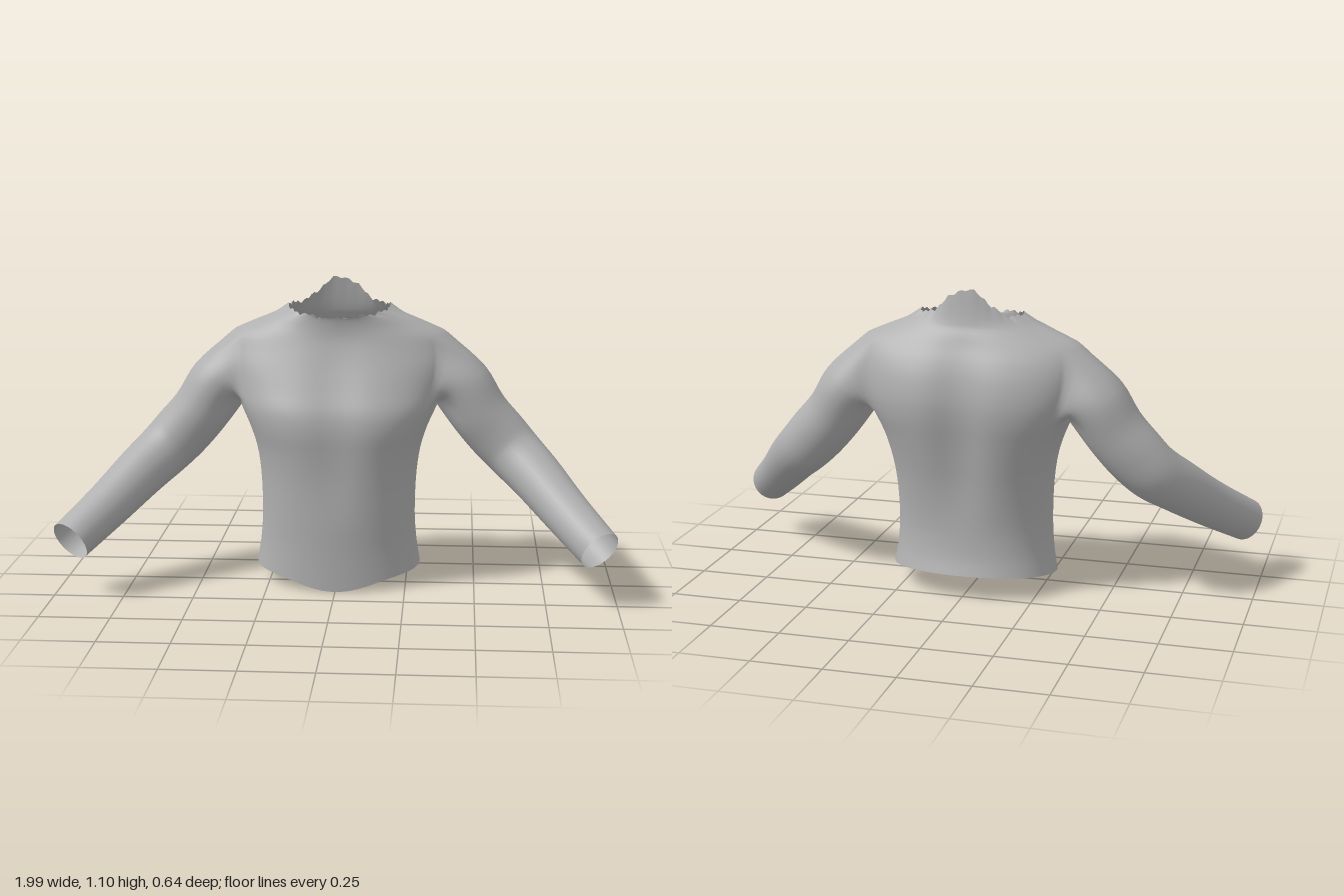
import * as THREE from 'three';

// Torso rings: y, half width, front z, back z, z of the widest point, roundness exponent
const RINGS = [
  [0.065, 0.300, 0.145, -0.288, -0.07, 2.1],
  [0.15, 0.287, 0.147, -0.270, -0.07, 2.1],
  [0.25, 0.280, 0.150, -0.260, -0.07, 2.2],
  [0.40, 0.285, 0.156, -0.278, -0.08, 2.3],
  [0.50, 0.300, 0.164, -0.297, -0.09, 2.4],
  [0.58, 0.325, 0.170, -0.312, -0.09, 2.5],
  [0.65, 0.357, 0.160, -0.324, -0.10, 2.5],
  [0.72, 0.385, 0.126, -0.327, -0.11, 2.4],
  [0.80, 0.405, 0.086, -0.312, -0.11, 2.3],
  [0.86, 0.410, 0.060, -0.288, -0.12, 2.1],
  [0.905, 0.400, 0.045, -0.262, -0.12, 1.9],
  [0.945, 0.325, 0.040, -0.240, -0.12, 1.8],
  [0.98, 0.240, 0.043, -0.218, -0.12, 1.9],
  [1.01, 0.185, 0.048, -0.195, -0.12, 2.2],
];
// Sleeve stations from shoulder to cuff: x, y, z, radius up, radius sideways
const SLEEVE = [
  [0.440, 0.722, -0.118, 0.112, 0.130],
  [0.515, 0.612, -0.110, 0.107, 0.120],
  [0.585, 0.532, -0.103, 0.107, 0.110],
  [0.645, 0.470, -0.082, 0.102, 0.106],
  [0.720, 0.403, -0.008, 0.095, 0.098],
  [0.820, 0.307, 0.120, 0.085, 0.086],
  [0.932, 0.208, 0.270, 0.077, 0.077],
];
const COLS = 96, SUB = 3;          // columns round the torso, steps between rings
const HOLE = { half: 8, low: 6 * SUB, high: 10 * SUB, y: 0.78, z: -0.105 };

// Point on torso ring r at the given column
function ringPoint(r, col) {
  const [y, hx, zf, zb, zc, n] = RINGS[r];
  const a = (col / COLS) * Math.PI * 2, c = Math.cos(a), s = Math.sin(a);
  const x = hx * Math.sign(c) * Math.abs(c) ** (2 / n);
  let z = zc + (s > 0 ? zf - zc : zc - zb) * Math.sign(s) * Math.abs(s) ** (2 / n);
  // shallow hollows along the breastbone and spine
  const body = Math.max(0, Math.sin(Math.PI * Math.min(1, Math.max(0, (y - 0.25) / 0.75))));
  const hollow = body * Math.exp(-((x / 0.09) ** 2));
  z += s > 0 ? -0.016 * hollow * s : -0.03 * hollow * s;
  let py = y;
  if (r === 0) py += -0.025 * s - 0.04 * Math.max(0, s) ** 8; // dipped hem
  if (r === RINGS.length - 1) {                                // ragged collar, high at the nape
    py += 0.09 * Math.max(0, -s) ** 8 - 0.025 * Math.max(0, s);
    py += 0.005 * Math.sin(col * 1.9) + 0.004 * Math.sin(col * 0.83);
  }
  return new THREE.Vector3(x, py, z);
}

// Centre and cross axes of each sleeve station, for the model's left arm
function sleeveFrames() {
  const centres = SLEEVE.map(([x, y, z]) => new THREE.Vector3(x, y, z));
  return SLEEVE.map(([, , , up, wide], i) => {
    const next = centres[Math.min(i + 1, centres.length - 1)];
    const t = next.clone().sub(centres[Math.max(i - 1, 0)]).normalize();
    const w = new THREE.Vector3(0, 0, 1).addScaledVector(t, -t.z).normalize();
    const u = w.clone().cross(t);
    return { c: centres[i], u: u.multiplyScalar(up), w: w.multiplyScalar(wide) };
  });
}

function shirtGeometry() {
  const verts = [], index = [];
  const add = (p) => verts.push(p) - 1;
  const quad = (a, b, c, d) => index.push(a, d, c, a, c, b);
  const rows = (RINGS.length - 1) * SUB;

  // Torso: a spline runs up every column
  for (let i = 0; i < COLS; i++) {
    const curve = new THREE.CatmullRomCurve3(RINGS.map((_, r) => ringPoint(r, i)));
    for (let j = 0; j <= rows; j++) add(curve.getPoint(j / rows));
  }
  const id = (i, j) => ((i + COLS) % COLS) * (rows + 1) + j;
  const inHole = (i, j) => {
    const k = (i + HOLE.half) % (COLS / 2);
    return k < 2 * HOLE.half && j >= HOLE.low && j < HOLE.high;
  };
  for (let i = 0; i < COLS; i++)
    for (let j = 0; j < rows; j++)
      if (!inHole(i, j)) quad(id(i, j), id(i + 1, j), id(i + 1, j + 1), id(i, j + 1));

  // Sleeves: each grows from the edge of its armhole
  const frames = sleeveFrames(), steps = SLEEVE.length * 4;
  for (const side of [1, -1]) {
    const mid = side > 0 ? 0 : COLS / 2, a = mid - HOLE.half, b = mid + HOLE.half;
    const loop = [];
    for (let i = a; i < b; i++) loop.push(id(i, HOLE.low));
    for (let j = HOLE.low; j < HOLE.high; j++) loop.push(id(b, j));
    for (let i = b; i > a; i--) loop.push(id(i, HOLE.high));
    for (let j = HOLE.high; j > HOLE.low; j--) loop.push(id(a, j));
    const columns = loop.map((v) => {
      const p = verts[v], phi = Math.atan2(p.z - HOLE.z, p.y - HOLE.y);
      const path = frames.map(({ c, u, w }) => {
        const q = c.clone().addScaledVector(u, Math.cos(phi)).addScaledVector(w, Math.sin(phi));
        q.x *= side;
        return q;
      });
      const curve = new THREE.CatmullRomCurve3([p, ...path]);
      const ids = [v];
      for (let k = 1; k <= steps; k++) ids.push(add(curve.getPoint(k / steps)));
      return ids;
    });
    columns.forEach((col, n) => {
      const next = columns[(n + 1) % columns.length];
      for (let k = 0; k < steps; k++) quad(col[k], next[k], next[k + 1], col[k + 1]);
    });
  }

  const geometry = new THREE.BufferGeometry().setFromPoints(verts);
  geometry.setIndex(index);
  geometry.computeVertexNormals();
  return geometry;
}

export function createModel() {
  const fabric = new THREE.MeshStandardMaterial({ color: 0xb0b0b0, side: THREE.DoubleSide });
  fabric.name = 'grey fabric';
  const shirt = new THREE.Mesh(shirtGeometry(), fabric);
  shirt.name = 'longSleeveShirt';
  const model = new THREE.Group();
  model.name = 'shirt';
  model.add(shirt);
  return model;
}
